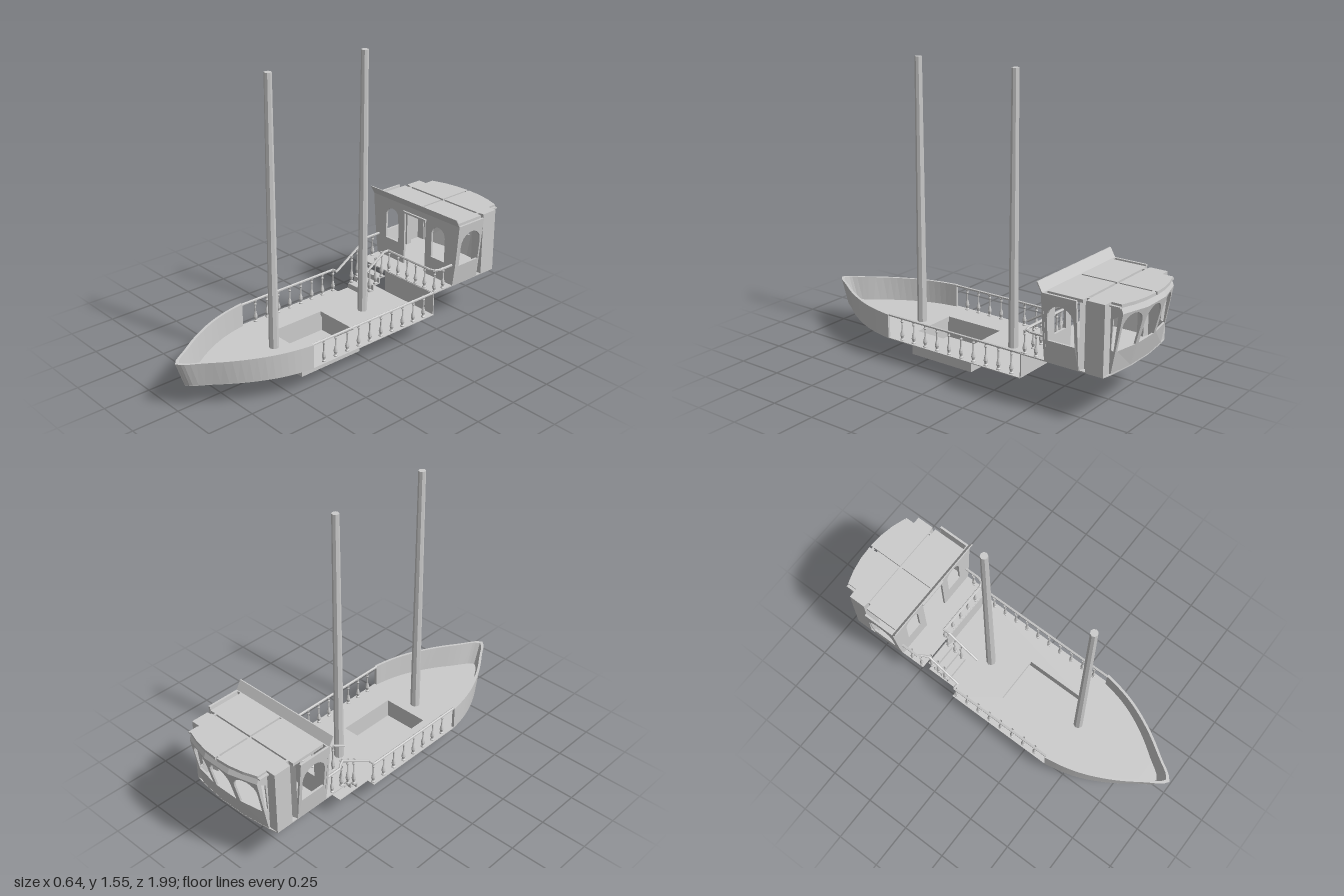
import * as THREE from 'three';

const mat = new THREE.MeshStandardMaterial({ color: 0xcccccc, side: THREE.DoubleSide, flatShading: true });
const DECK = 0.127, UPPER = 0.25, ROOF = 0.6;
const V = (x, y, z) => new THREE.Vector3(x, y, z);

export function createModel() {
  const ship = new THREE.Group();
  ship.name = 'ship';

  function add(name, geo, parent = ship) {
    const m = new THREE.Mesh(geo, mat);
    m.name = name;
    parent.add(m);
    return m;
  }
  function group(name) {
    const g = new THREE.Group();
    g.name = name;
    ship.add(g);
    return g;
  }
  const poly = pts => new THREE.Shape(pts.map(p => new THREE.Vector2(p[0], p[1])));
  const rect = (x0, x1, y0, y1) => poly([[x0, y0], [x1, y0], [x1, y1], [x0, y1]]);
  // Window outline with a rounded head
  function arch(x0, x1, y0, y1) {
    const rx = (x1 - x0) / 2, ry = Math.min(rx, 0.07), pts = [[x0, y0], [x1, y0]];
    for (let i = 0; i <= 10; i++) {
      const a = Math.PI * i / 10;
      pts.push([x0 + rx + rx * Math.cos(a), y1 - ry + ry * Math.sin(a)]);
    }
    return poly(pts);
  }
  // Extrude a shape and move every vertex by a rule
  function panel(shape, holes, depth, rule) {
    shape.holes.push(...holes);
    const geo = new THREE.ExtrudeGeometry(shape, { depth, bevelEnabled: false });
    const p = geo.attributes.position;
    for (let i = 0; i < p.count; i++) p.setXYZ(i, ...rule(p.getX(i), p.getY(i), p.getZ(i)));
    geo.computeVertexNormals();
    return geo;
  }
  // Horizontal plate from an x,z outline
  const plate = (shape, holes, top, depth) => panel(shape, holes, depth, (x, z, d) => [x, top - d, z]);

  // Bow outline, from the left side round the stem to the right side
  const side = [[0.29, 0.4], [0.272, 0.5], [0.243, 0.6], [0.2, 0.7], [0.145, 0.8], [0.078, 0.9], [0.03, 0.975], [0, 1]];
  const half = new THREE.CatmullRomCurve3(side.map(p => V(p[0], 0, p[1]))).getPoints(20);
  const bow = [...half, ...half.slice(0, -1).reverse().map(p => V(-p.x, 0, p.z))];
  const low = z => 0.4 + (z - 0.4) * 0.925;

  // Main deck with hatch opening and stair notch
  const outline = bow.map(p => [p.x, low(p.z)]);
  outline.push([-0.29, -0.23], [-0.245, -0.23], [-0.245, -0.43], [0.29, -0.43]);
  add('mainDeck', plate(poly(outline), [rect(-0.13, 0.13, -0.005, 0.335)], DECK + 0.002, 0.004));

  // Bulwark: outer face, cap and inner face lofted round the bow
  const pos = [], idx = [];
  bow.forEach((p, i) => {
    const k = 0.95, zi = 0.4 + (p.z - 0.4) * 0.965;
    pos.push(p.x, DECK, low(p.z), p.x, 0.255, p.z, p.x * k, 0.255, zi, p.x * k, DECK, low(zi));
    if (i) for (let j = 0; j < 3; j++) {
      const a = (i - 1) * 4 + j, b = a + 4;
      idx.push(a, b, a + 1, b, b + 1, a + 1);
    }
  });
  const last = (bow.length - 1) * 4;
  idx.push(0, 1, 2, 0, 2, 3, last, last + 2, last + 1, last, last + 3, last + 2);
  const bulwark = new THREE.BufferGeometry();
  bulwark.setAttribute('position', new THREE.Float32BufferAttribute(pos, 3));
  bulwark.setIndex(idx);
  bulwark.computeVertexNormals();
  add('bulwark', bulwark);

  // Cargo hold: hatch neck, top, walls and floor
  const hold = group('hold');
  const hatch = () => rect(-0.13, 0.13, -0.005, 0.335), body = () => rect(-0.15, 0.15, -0.03, 0.36);
  add('hatchNeck', plate(rect(-0.133, 0.133, -0.008, 0.338), [hatch()], DECK, 0.024), hold);
  add('holdTop', plate(body(), [hatch()], 0.105, 0.004), hold);
  add('holdWalls', plate(body(), [rect(-0.146, 0.146, -0.026, 0.356)], 0.103, 0.1), hold);
  add('holdFloor', plate(body(), [], 0.004, 0.004), hold);

  // Masts
  for (const [name, z] of [['foreMast', 0.415], ['mainMast', -0.185]])
    add(name, new THREE.CylinderGeometry(0.019, 0.026, 1.55 - DECK, 8)).position.set(0, (1.55 + DECK) / 2, z);

  // Upper deck running under the cabin, with bulkhead beside the stairs
  add('upperDeck', plate(poly([[0.285, -0.43], [0.285, -0.885], [0.235, -0.895], [0.08, -0.912], [-0.08, -0.912],
    [-0.235, -0.895], [-0.285, -0.885], [-0.285, -0.43]]), [], UPPER + 0.003, 0.006));
  add('bulkhead', new THREE.BoxGeometry(0.365, UPPER - DECK, 0.006)).position.set(0.1025, (UPPER + DECK) / 2, -0.43);

  // Stairs: folded treads and risers
  const steps = [[-0.3, DECK]];
  for (let i = 0; i < 3; i++) {
    const y = 0.158 + i * 0.03;
    steps.push([-0.3 - i * 0.043, y], [-0.343 - i * 0.043, y]);
  }
  const under = steps.map(([z, y]) => [z - 0.006, y - 0.006]).reverse();
  add('stairs', panel(poly([...steps, ...under]), [], 0.155, (z, y, d) => [-0.24 + d, y, z]));

  // Turned balusters
  const rails = group('railings');
  const turned = [[0.011, 0], [0.011, 0.06], [0.006, 0.1], [0.011, 0.24], [0.009, 0.34], [0.004, 0.5], [0.004, 0.78],
    [0.008, 0.84], [0.005, 0.9], [0.009, 1]].map(p => new THREE.Vector2(...p));
  const turnedGeo = new THREE.LatheGeometry(turned, 8);
  function baluster(x, z, y0, y1) {
    const b = add('baluster', turnedGeo, rails);
    b.position.set(x, y0, z);
    b.scale.y = y1 - y0;
  }
  for (let i = 0; i < 10; i++) {
    const z = 0.32 - i * 0.0765;
    baluster(0.272, z, DECK, 0.25);
    if (i < 8) baluster(-0.272, z, DECK, 0.25);
  }
  for (const x of [-0.07, 0, 0.07, 0.135, 0.2]) baluster(x, -0.445, UPPER, 0.37);
  for (const x of [-0.272, 0.272]) for (const z of [-0.445, -0.51]) baluster(x, z, UPPER, 0.37);
  [-0.32, -0.363, -0.408].forEach((z, i) => {
    for (const x of [-0.235, -0.09]) baluster(x, z, 0.158 + i * 0.03, 0.255 + 0.115 * (-z - 0.21) / 0.2);
  });

  // Handrails
  function rail(name, pts) {
    const path = new THREE.CurvePath();
    for (let i = 1; i < pts.length; i++) path.add(new THREE.LineCurve3(V(...pts[i - 1]), V(...pts[i])));
    for (const c of path.curves) add(name, new THREE.TubeGeometry(c, 1, 0.007, 6), rails);
  }
  rail('leftRail', [[0.278, 0.251, 0.4], [0.278, 0.251, -0.43]]);
  rail('rightRail', [[-0.278, 0.251, 0.4], [-0.278, 0.251, -0.22], [-0.245, 0.253, -0.22], [-0.245, 0.37, -0.41],
    [-0.26, 0.37, -0.44], [-0.278, 0.37, -0.46], [-0.278, 0.37, -0.565]]);
  rail('upperRail', [[-0.075, 0.253, -0.22], [-0.075, 0.37, -0.41], [-0.075, 0.37, -0.44], [0.235, 0.37, -0.44],
    [0.265, 0.37, -0.45], [0.278, 0.37, -0.48], [0.278, 0.37, -0.565]]);

  // Cabin front with doorway and two windows
  const cabin = group('cabin');
  const flare = y => 0.287 + 0.035 * Math.pow(Math.max(0, (y - UPPER) / 0.35), 0.75);
  const front = poly([[-0.287, UPPER], [-0.08, UPPER], [-0.08, 0.56], [0.08, 0.56], [0.08, UPPER], [0.287, UPPER],
    [flare(0.37), 0.37], [flare(0.48), 0.48], [flare(ROOF), ROOF], [-flare(ROOF), ROOF], [-flare(0.48), 0.48], [-flare(0.37), 0.37]]);
  add('cabinFront', panel(front, [arch(-0.222, -0.125, 0.365, 0.55), arch(0.125, 0.222, 0.365, 0.55)], 0.012,
    (x, y, d) => [x, y, -0.566 - d]), cabin);
  add('doorLintel', new THREE.BoxGeometry(0.17, 0.01, 0.012), cabin).position.set(0, 0.563, -0.562);
  // Leaning board over the cabin front
  add('browBoard', panel(rect(-0.322, 0.322, 0.6, 0.647), [], 0.006,
    (x, y, d) => [x, y, -0.566 + (y - 0.6) * 0.55 - d]), cabin);

  // Stern surface leaning out, bulged in the middle, tucked in under the roof
  function sternZ(x, y) {
    const u = 1 - (x / 0.235) ** 2, t = Math.min(1, (y - UPPER) / 0.305);
    return -(0.893 + 0.02 * u) - t * (0.055 + 0.027 * u) + Math.max(0, y - 0.555) * 0.4;
  }
  const sternEdges = [-0.235, -0.083, 0.083, 0.235];
  for (let i = 0; i < 3; i++) {
    const a = sternEdges[i], b = sternEdges[i + 1];
    const bend = (x, y, d) => {
      const k = (x - a) / (b - a);
      return [x, y, THREE.MathUtils.lerp(sternZ(a, y), sternZ(b, y), k) + d];
    };
    add('sternWindow', panel(rect(a, b, UPPER, 0.555), [arch(a + 0.013, b - 0.013, 0.365, 0.545)], 0.01, bend), cabin);
    add('sternCornice', panel(rect(a, b, 0.555, ROOF), [], 0.01, bend), cabin);
  }

  // Sides, mirrored
  for (const s of [1, -1]) {
    add('sideWall', panel(rect(0.566, 0.755, UPPER, ROOF), [arch(0.594, 0.74, 0.365, 0.55)], 0.012,
      (a, y, d) => [s * (flare(y) - d), y, -a]), cabin);
    const quarter = poly([[0.287, -0.755], [0.255, -0.765], [0.255, -0.785], [0.287, -0.79], [0.287, -0.885], [0.235, -0.885],
      [0.235, -0.875], [0.277, -0.875], [0.277, -0.798], [0.245, -0.79], [0.245, -0.755]]);
    add('quarterWall', panel(quarter, [], ROOF - UPPER, (x, z, d) => [s * x, ROOF - d, z]), cabin);
    add('sternSide', panel(rect(0, 1, UPPER, ROOF), [poly([[0.3, 0.37], [0.8, 0.365], [0.85, 0.545], [0.3, 0.52]])], 0.008,
      (k, y, d) => [s * (0.235 - d), y, THREE.MathUtils.lerp(-0.88, sternZ(0.235, y), k)]), cabin);
    // Roof panels, parted by shallow seams
    const roofRear = poly([[0.006, -0.785], [0.25, -0.785], [0.287, -0.79], [0.287, -0.885], [0.235, -0.885],
      [0.235, -0.94], [0.16, -0.965], [0.08, -0.98], [0.006, -0.984]]);
    const flip = (x, z, d) => [s * x, ROOF - d, z];
    add('roofFrontPanel', panel(rect(0.006, 0.287, -0.77, -0.575), [], 0.016, flip), cabin);
    add('roofRearPanel', panel(roofRear, [], 0.016, flip), cabin);
  }
  add('roofBase', new THREE.BoxGeometry(0.5, 0.008, 0.37), cabin).position.set(0, 0.585, -0.755);

  return ship;
}
